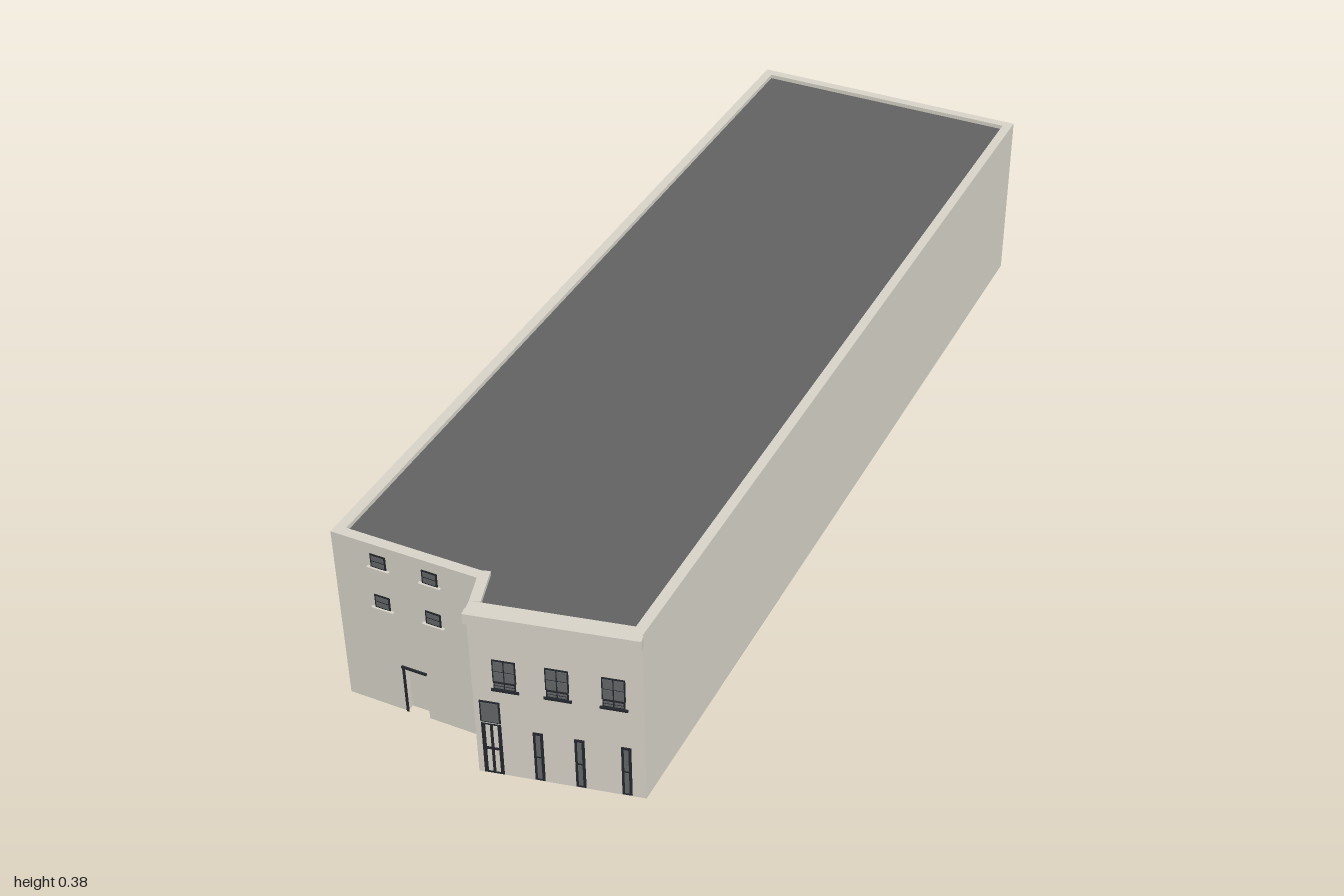
import * as THREE from 'three';

const mat = (name, color) => {
  const m = new THREE.MeshStandardMaterial({ color });
  m.name = name;
  return m;
};
const stone = mat('pale stone', 0xd8d4c9);
const roofing = mat('roof grey', 0x626262);
const dark = mat('dark frame', 0x24272c);
const glass = mat('window glass', 0x646669);

const H = 0.385; // wall height
const T = 0.02;  // wall thickness

// Footprint corners as [x, z], counter-clockwise from above
const F = [-0.5, 0.845], E = [-0.212, 0.906], D = [-0.207, 0.985];
const C = [0.1, 0.985], B = [0.5, -0.866], A = [-0.101, -0.997];

function box(parent, name, material, w, h, d, x, y, z) {
  const m = new THREE.Mesh(new THREE.BoxGeometry(w, h, d), material);
  m.name = name;
  m.position.set(x, y, z);
  parent.add(m);
  return m;
}

// A wall panel between two corners; local x runs along it, local z faces out.
// Openings are [centre, width, height] notches standing on the ground.
function wall(root, name, p, q, openings = [], before = 0) {
  const dx = q[0] - p[0], dz = q[1] - p[1], L = Math.hypot(dx, dz);
  const g = new THREE.Group();
  g.name = name;
  g.position.set(p[0], 0, p[1]);
  g.rotation.y = Math.atan2(-dz, dx);
  const pts = [[-before, 0]];
  for (const [c, w, h] of openings) {
    pts.push([c - w / 2, 0], [c - w / 2, h], [c + w / 2, h], [c + w / 2, 0]);
  }
  pts.push([L, 0], [L, H], [-before, H]);
  const shape = new THREE.Shape(pts.map(([x, y]) => new THREE.Vector2(x, y)));
  const geo = new THREE.ExtrudeGeometry(shape, { depth: T, bevelEnabled: false });
  const m = new THREE.Mesh(geo.translate(0, 0, -T), stone);
  m.name = name + 'Panel';
  g.add(m);
  root.add(g);
  return g;
}

// Frame plate with a grid of panes
function paned(parent, name, frame, x, y, w, h, cols, rows, bar) {
  const g = new THREE.Group();
  g.name = name;
  g.position.set(x, y, 0);
  box(g, 'frame', frame, w, h, 0.002, 0, h / 2, 0.001);
  const pw = (w - bar * (cols + 1)) / cols, ph = (h - bar * (rows + 1)) / rows;
  for (let i = 0; i < cols; i++) for (let j = 0; j < rows; j++) {
    box(g, 'pane', glass, pw, ph, 0.002,
      -w / 2 + bar + pw / 2 + i * (pw + bar), bar + ph / 2 + j * (ph + bar), 0.002);
  }
  parent.add(g);
  return g;
}

function smallWindow(parent, x, y) {
  const g = paned(parent, 'smallWindow', dark, x, y, 0.031, 0.029, 1, 2, 0.003);
  box(g, 'sill', stone, 0.044, 0.004, 0.006, 0, -0.002, 0.003);
}

function groundWindow(parent, x) {
  const g = paned(parent, 'groundWindow', stone, x, 0.1, 0.052, 0.047, 3, 2, 0.0018);
  box(g, 'sill', stone, 0.058, 0.004, 0.005, 0, -0.002, 0.0025);
}

// Recessed door leaf, grey on its inner side, with a dark jamb and thin hood
function door(parent, x, w, h) {
  box(parent, 'door', stone, w, h, 0.003, x, h / 2, -T + 0.003);
  box(parent, 'doorLining', glass, w, h, 0.002, x, h / 2, -T);
  box(parent, 'doorJamb', dark, 0.005, h, 0.002, x - w / 2, h / 2, 0.001);
  box(parent, 'doorHood', dark, w + 0.006, 0.004, 0.004, x, h + 0.001, 0.002);
}

// Tall upper window of the projecting facade
function tallWindow(parent, x) {
  const g = paned(parent, 'tallWindow', dark, x, 0.227, 0.042, 0.05, 2, 2, 0.0025);
  paned(g, 'apronPanel', dark, 0, -0.016, 0.04, 0.015, 2, 2, 0.0025);
  box(g, 'sill', dark, 0.05, 0.005, 0.003, 0, -0.02, 0.0015);
}

// Flat slab following the footprint
function slab(root, name, material, outline, y, depth) {
  const shape = new THREE.Shape(outline.map(([x, z]) => new THREE.Vector2(x, -z)));
  const geo = new THREE.ExtrudeGeometry(shape, { depth, bevelEnabled: false });
  const m = new THREE.Mesh(geo.rotateX(-Math.PI / 2), material);
  m.name = name;
  m.position.y = y;
  root.add(m);
}

export function createModel() {
  const root = new THREE.Group();
  root.name = 'building';

  // Set-back front wing
  const wing = wall(root, 'frontWing', F, E, [[0.146, 0.046, 0.11]]);
  for (const x of [0.094, 0.198]) for (const y of [0.24, 0.334]) smallWindow(wing, x, y);
  door(wing, 0.146, 0.046, 0.11);

  // Return wall, stopping behind the projecting facade
  wall(root, 'returnWall', E, [D[0], D[1] - T], [], T);

  // Projecting facade
  const facade = wall(root, 'facade', D, C, [[0.029, 0.037, 0.122]]);
  for (const x of [0.06, 0.154, 0.254]) tallWindow(facade, x);
  for (const x of [0.114, 0.189, 0.273]) {
    paned(facade, 'slitWindow', dark, x, 0.003, 0.018, 0.115, 1, 2, 0.005);
  }

  // Entrance: dark frame with pale strips, glazed transom above
  box(facade, 'entranceFrame', dark, 0.037, 0.122, 0.004, 0.029, 0.061, -0.002);
  for (const x of [0.0225, 0.0365]) for (const y of [0.032, 0.092]) {
    box(facade, 'entranceStrip', stone, 0.008, 0.052, 0.002, x, y, 0);
  }
  paned(facade, 'entranceTransom', dark, 0.029, 0.126, 0.037, 0.05, 1, 1, 0.003);
  box(facade, 'cornice', stone, 0.311, 0.022, 0.015, 0.1535, H - 0.011, 0.0075);

  // Plain long wall
  wall(root, 'longWall', C, B);

  // Back wall: five bays, door in the middle
  const back = wall(root, 'backWall', B, A, [[0.307, 0.046, 0.115]]);
  for (let i = 0; i < 5; i++) {
    const x = 0.091 + i * 0.108;
    smallWindow(back, x, 0.24);
    smallWindow(back, x, 0.334);
    if (i === 2) door(back, x, 0.046, 0.115);
    else groundWindow(back, x);
  }

  // Long windowed wall: seven bays toward the back, door in the middle
  const side = wall(root, 'windowedWall', A, F, [[0.448, 0.046, 0.115]]);
  for (let i = 0; i < 7; i++) {
    const x = 0.1 + i * 0.116;
    smallWindow(side, x, 0.24);
    smallWindow(side, x, 0.334);
    if (i === 3) door(side, x, 0.046, 0.115);
    else groundWindow(side, x);
  }

  // Flat roof just below the parapet and pale ceiling, edges buried in the walls
  const k = 0.012;
  const inset = [
    [F[0] + k, F[1] - k], [E[0] + k, E[1] - k], [D[0] + k, D[1] - k],
    [C[0] - k, C[1] - k], [B[0] - k, B[1] + k], [A[0] + k, A[1] + k],
  ];
  slab(root, 'roof', roofing, inset, 0.372, 0.004);
  slab(root, 'ceiling', stone, inset, 0.37, 0.002);

  return root;
}
